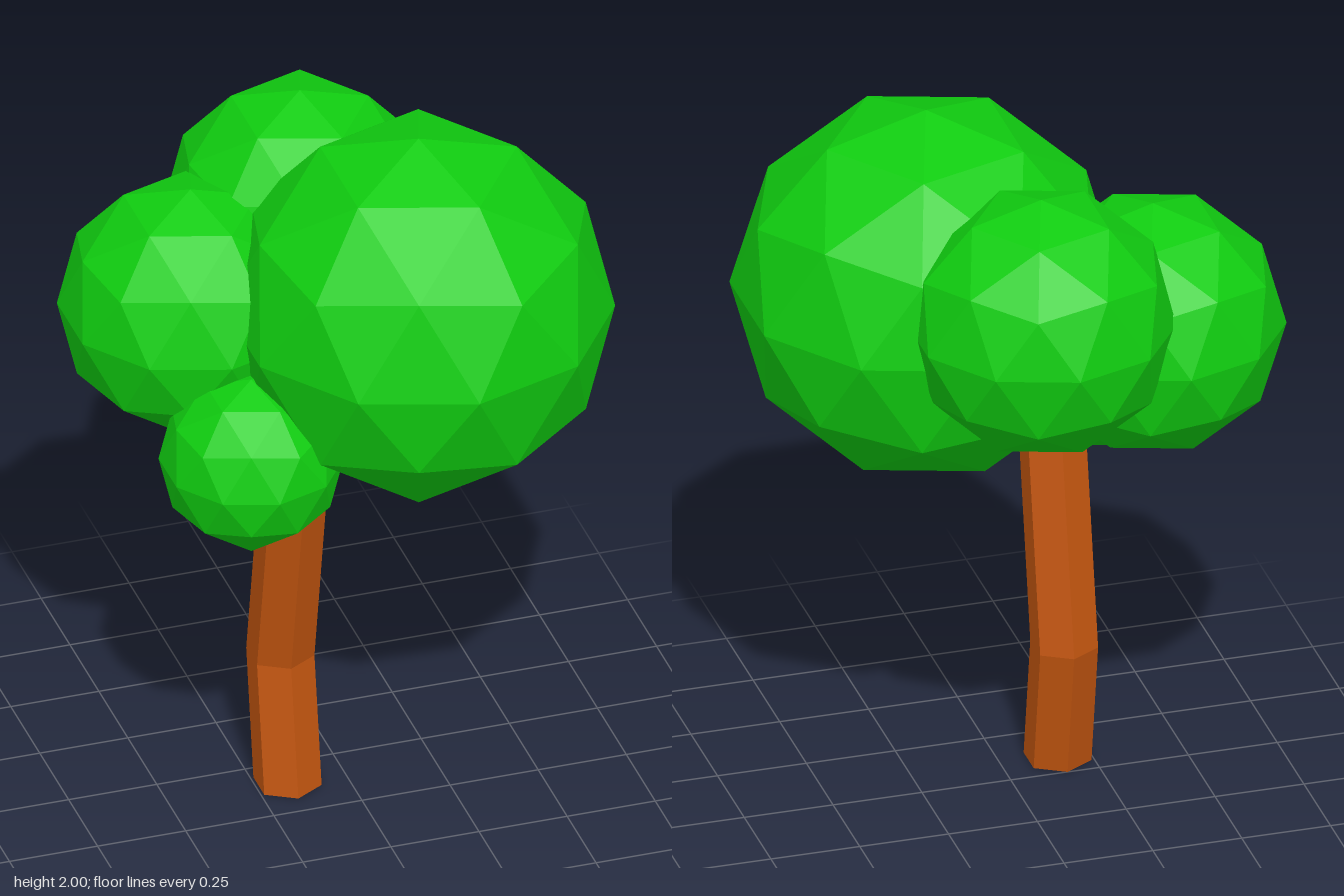
import * as THREE from 'three';

export function createModel() {
  const group = new THREE.Group();
  const leafMaterial = new THREE.MeshStandardMaterial({ color: 0x10cc10, flatShading: true });
  const barkMaterial = new THREE.MeshStandardMaterial({ color: 0xc0540f, flatShading: true });

  // Trunk: hexagonal prism whose three rings are shifted along z to give a bend
  const rings = [ // [y, z] from top to bottom
    [1.1, 0.168],
    [0.375, 0.032],
    [0, 0.094],
  ];
  const trunkGeometry = new THREE.CylinderGeometry(0.094, 0.094, 2, 6, 2);
  const pos = trunkGeometry.attributes.position;
  for (let i = 0; i < pos.count; i++) {
    const [y, z] = rings[Math.round(1 - pos.getY(i))];
    pos.setXYZ(i, pos.getX(i) - 0.16, y, pos.getZ(i) + z);
  }
  trunkGeometry.computeVertexNormals();
  const trunk = new THREE.Mesh(trunkGeometry, barkMaterial);
  trunk.name = 'trunk';
  group.add(trunk);

  // Foliage: faceted balls, each with a corner pointing straight up
  const ball = new THREE.IcosahedronGeometry(1, 1);
  ball.rotateZ(-Math.atan(2 / (1 + Math.sqrt(5))));
  const foliage = [
    ['largeFoliage', 0.53, 0.195, 1.47, 0.145],
    ['backFoliage', 0.37, 0.006, 1.555, -0.305],
    ['rightFoliage', 0.36, -0.358, 1.417, -0.142],
    ['smallFoliage', 0.25, -0.306, 1.13, 0.225],
  ];
  for (const [name, radius, x, y, z] of foliage) {
    const mesh = new THREE.Mesh(ball, leafMaterial);
    mesh.name = name;
    mesh.position.set(x, y, z);
    mesh.scale.setScalar(radius);
    group.add(mesh);
  }

  return group;
}
